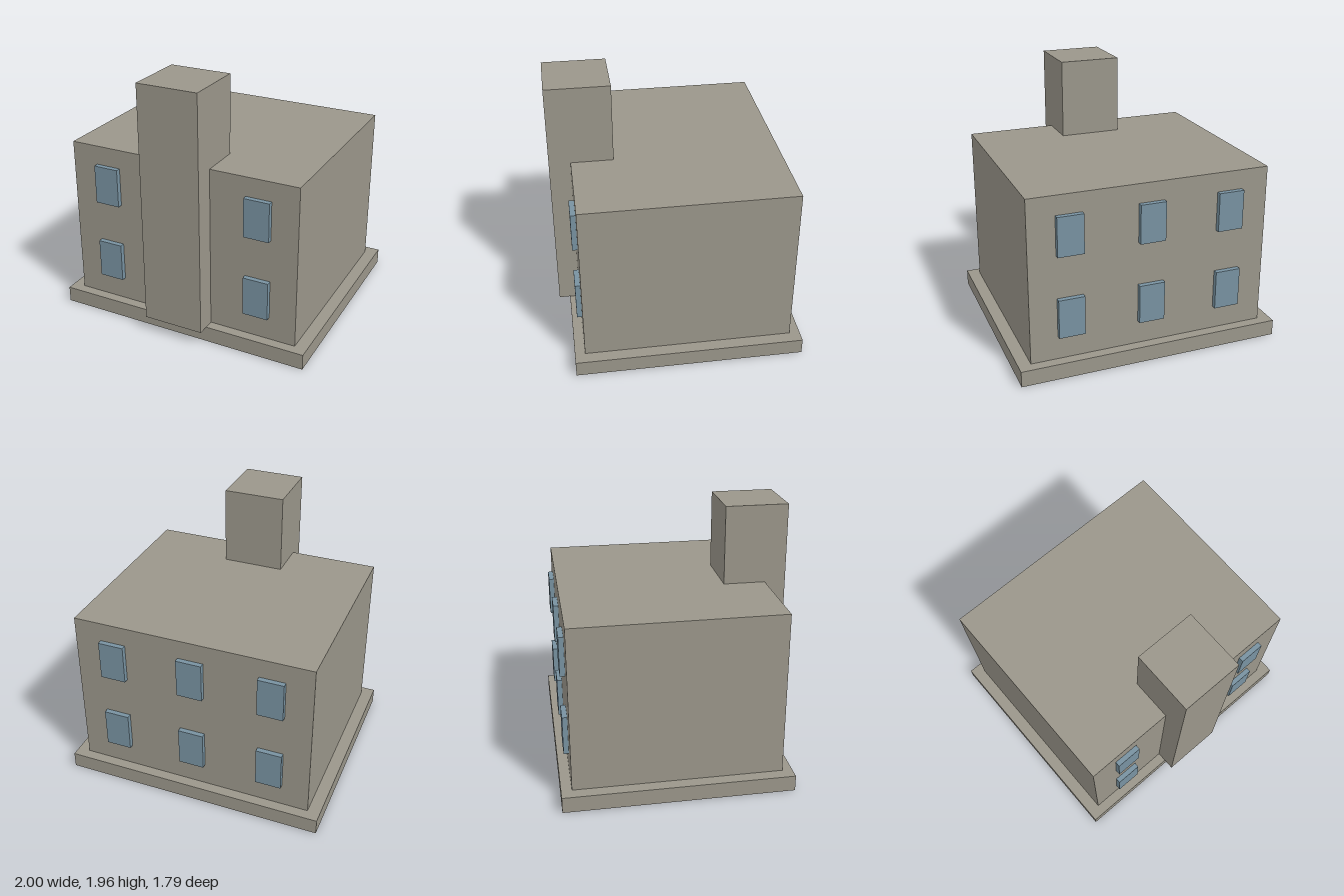
import * as THREE from 'three';

export function createModel() {
  const model = new THREE.Group();
  model.name = 'house';

  const stone = new THREE.MeshStandardMaterial({ color: 0x9a968a });
  stone.name = 'warm grey stone';
  const glass = new THREE.MeshStandardMaterial({ color: 0x7892a1 });
  glass.name = 'blue grey glass';

  // Box given by its extents along each axis
  function block(name, material, [x0, x1], [y0, y1], [z0, z1]) {
    const mesh = new THREE.Mesh(new THREE.BoxGeometry(x1 - x0, y1 - y0, z1 - z0), material);
    mesh.position.set((x0 + x1) / 2, (y0 + y1) / 2, (z0 + z1) / 2);
    mesh.name = name;
    model.add(mesh);
  }

  // Plinth, main body and the chimney standing proud of the front wall
  const front = 0.735, back = -0.815;
  block('plinth', stone, [-1, 1], [0, 0.12], [-0.893, 0.81]);
  block('body', stone, [-0.907, 0.907], [0.12, 1.36], [back, front]);
  block('chimney', stone, [-0.233, 0.233], [0.12, 1.955], [0.42, 0.893]);

  // Two storeys of raised windows: two columns in front, three behind
  const halfWidth = 0.097, height = 0.295, depth = 0.038;
  for (const sill of [0.3, 0.92]) {
    for (const x of [-0.607, 0, 0.607]) {
      const across = [x - halfWidth, x + halfWidth];
      const up = [sill, sill + height];
      if (x !== 0) block('frontWindow', glass, across, up, [front, front + depth]);
      block('backWindow', glass, across, up, [back - depth, back]);
    }
  }

  return model;
}
